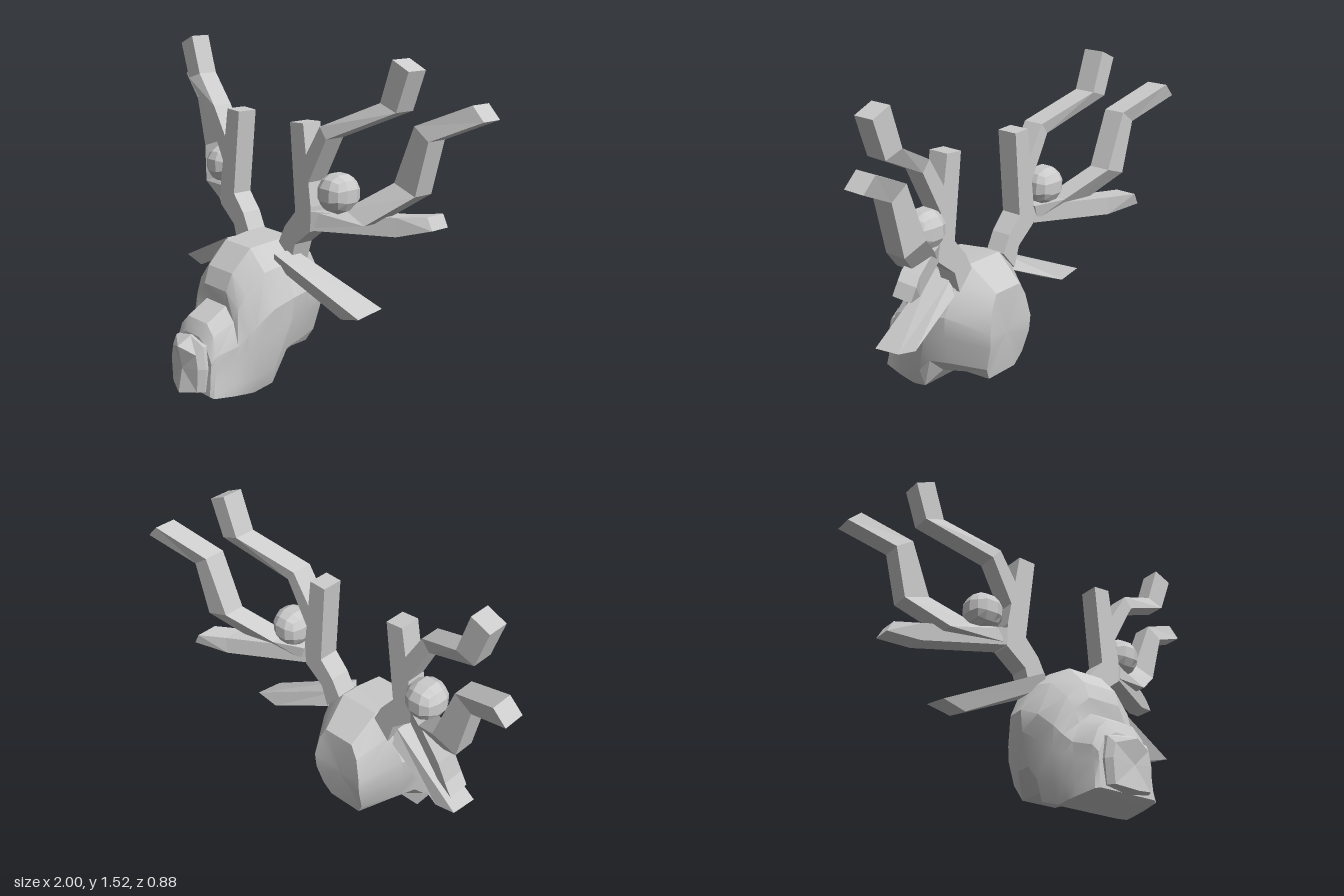
import * as THREE from 'three';
import { toCreasedNormals } from 'three/addons/utils/BufferGeometryUtils.js';

const { lerp } = THREE.MathUtils;
const flat = new THREE.MeshStandardMaterial({ color: 0xcccccc, flatShading: true });
const smooth = new THREE.MeshStandardMaterial({ color: 0xcccccc });

// Closed skin through rings of [x, y, z] points, capped at both ends and wound outwards.
function loft(rings) {
  const n = rings[0].length;
  const tris = [];
  for (let r = 0; r + 1 < rings.length; r++) {
    for (let i = 0; i < n; i++) {
      const j = (i + 1) % n;
      const [a, b, c, d] = [rings[r][i], rings[r][j], rings[r + 1][j], rings[r + 1][i]];
      tris.push([a, b, c], [a, c, d]);
    }
  }
  for (const [ring, end] of [[rings[0], false], [rings[rings.length - 1], true]]) {
    const mid = [0, 1, 2].map(k => ring.reduce((s, p) => s + p[k], 0) / n);
    for (let i = 0; i < n; i++) {
      const j = (i + 1) % n;
      tris.push(end ? [mid, ring[i], ring[j]] : [mid, ring[j], ring[i]]);
    }
  }
  let volume = 0;
  for (const t of tris) {
    const [a, b, c] = t.map(p => new THREE.Vector3(...p));
    volume += a.dot(b.cross(c));
  }
  if (volume < 0) tris.forEach(t => t.reverse());
  const g = new THREE.BufferGeometry();
  g.setAttribute('position', new THREE.Float32BufferAttribute(tris.flat(2), 3));
  g.computeVertexNormals();
  return g;
}

// Full ring from its left half, listed from top to bottom.
const mirrorRing = half => [...half, ...half.map(([x, y, z]) => [-x, y, z]).reverse()];

// Head section: six heights per side, bulging from the top edge to the cheek and back in.
function headRing([zTop, zMid, zBottom, yTop, yBottom, wTop, wMid, wBottom]) {
  const heights = [0, 0.15, 0.4, 0.58, 0.85, 1];
  const widths = [wTop, lerp(wTop, wMid, 0.6), wMid, wMid * 0.98, lerp(wMid, wBottom, 0.3), wBottom];
  return mirrorRing(heights.map((t, i) => [
    widths[i],
    lerp(yTop, yBottom, t),
    t < 0.5 ? lerp(zTop, zMid, t * 2) : lerp(zMid, zBottom, t * 2 - 1),
  ]));
}

const headSections = [
  // back of the skull and neck
  [-.27, -.295, -.24, .56, .13, .08, .14, .09],
  [-.13, -.11, -.11, .67, .125, .10, .25, .10],
  [-.03, 0, 0, .665, .11, .10, .27, .14],
  // brow, cheeks and jaw
  [.10, .08, .06, .65, .03, .09, .245, .20],
  [.20, .155, .15, .55, 0, .085, .22, .18],
  [.23, .195, .20, .47, .005, .08, .20, .18],
  // muzzle
  [.225, .245, .26, .40, .01, .07, .18, .175],
  [.33, .335, .36, .34, .02, .07, .15, .16],
  [.36, .36, .37, .28, .025, .05, .14, .14],
];

// Nose section: a centre ridge at zRidge, sides at zSide.
const noseRing = (zRidge, zSide, top, width) => mirrorRing([
  [0, top, zRidge], [width * 0.87, top - 0.025, zSide], [width, 0.15, zSide],
  [width * 0.92, 0.04, zSide], [0, 0.02, zRidge],
]);

// Antler bar: stations of two edge points in the front plane and a depth centre.
const bar = (stations, side) => loft(stations.map(([xa, ya, xb, yb, z]) => [
  [xa * side, ya, z + 0.05], [xb * side, yb, z + 0.05],
  [xb * side, yb, z - 0.05], [xa * side, ya, z - 0.05],
]));

const antlerBars = {
  antlerStem: [
    [.11, .66, .19, .57, -.10], [.15, .74, .22, .67, -.10], [.22, .82, .32, .75, -.10],
    [.215, .87, .32, .86, -.10], [.18, 1.215, .265, 1.22, -.10],
  ],
  upperBranch: [
    [.27, 1.06, .30, .96, -.10], [.37, 1.22, .41, 1.17, -.10],
    [.62, 1.34, .71, 1.31, -.20], [.68, 1.52, .77, 1.48, -.20],
  ],
  lowerBranch: [
    [.26, .85, .26, .77, -.10], [.32, .84, .32, .755, -.10],
    [.64, .845, .64, .76, -.30], [.74, .855, .77, .80, -.38],
  ],
  outerBranch: [
    [.32, .84, .34, .77, -.11], [.44, .86, .56, .81, -.19], [.61, .99, .73, .95, -.31],
    [.71, 1.245, .79, 1.19, -.31], [.94, 1.35, 1, 1.29, -.39],
  ],
};

const earRings = [
  [[.17, .63, .03], [.17, .63, -.09], [.15, .57, -.12], [.15, .57, .01]],
  [[.62, .425, -.06], [.62, .445, -.20], [.51, .415, -.19], [.51, .395, -.065]],
];

// Faceted ball made from a cube pushed out to a sphere.
function ball(radius) {
  const g = new THREE.BoxGeometry(1, 1, 1, 3, 3, 3);
  const p = g.attributes.position;
  const v = new THREE.Vector3();
  for (let i = 0; i < p.count; i++) {
    v.fromBufferAttribute(p, i).setLength(radius);
    p.setXYZ(i, v.x, v.y, v.z);
  }
  return g;
}

export function createModel() {
  const model = new THREE.Group();
  model.name = 'deerHead';
  const add = (name, geometry, material = flat) => {
    const mesh = new THREE.Mesh(geometry, material);
    mesh.name = name;
    model.add(mesh);
    return mesh;
  };

  add('head', toCreasedNormals(loft(headSections.map(headRing)), 0.4), smooth);
  add('nose', loft([
    noseRing(.35, .35, .28, .12), noseRing(.37, .375, .275, .12), noseRing(.44, .405, .24, .10),
  ]));

  // Antlers, ears and hanging balls on both sides
  for (const [label, side] of [['left', 1], ['right', -1]]) {
    for (const [part, stations] of Object.entries(antlerBars)) {
      add(`${label} ${part}`, bar(stations, side));
    }
    add(`${label} ear`, loft(earRings.map(r => r.map(([x, y, z]) => [x * side, y, z]))));
    add(`${label} ball`, ball(0.094)).position.set(0.4 * side, 0.925, -0.14);
  }
  return model;
}
